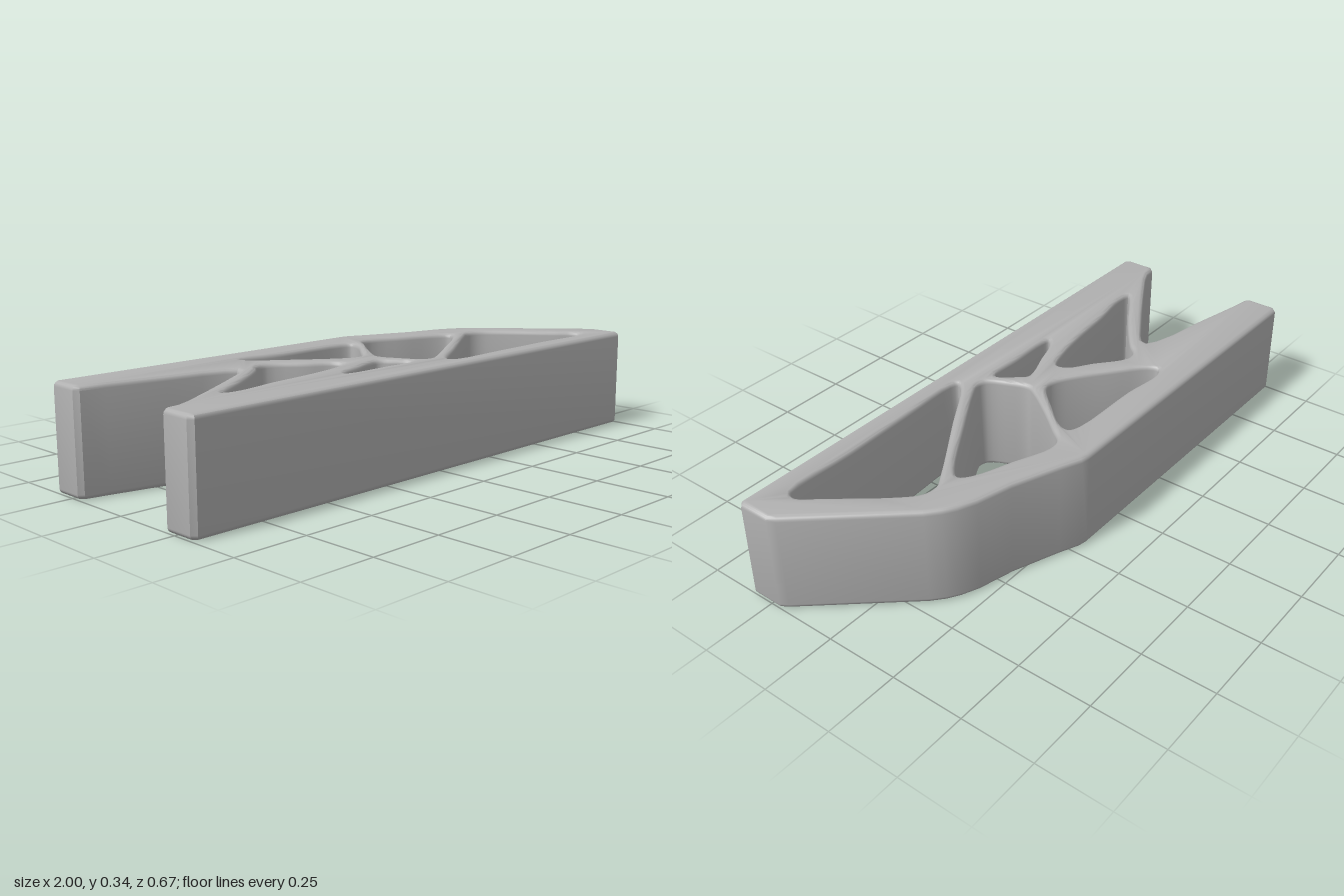
import * as THREE from 'three';
import { toCreasedNormals } from 'three/addons/utils/BufferGeometryUtils.js';

const HEIGHT = 0.345;
const EDGE = 0.016; // radius of the rounded edges

// Plan coordinates: x to the right, z towards the front.
const OUTLINE = [
  [-0.985, -0.335], [0.19, -0.335], [0.22, -0.33], [0.29, -0.3], [0.45, -0.24], [0.57, -0.21],
  [0.63, -0.185], [0.67, -0.16], [0.71, -0.125], [0.985, 0.19], [1, 0.215], [1, 0.32], [0.985, 0.335],
  [-0.985, 0.335], [-1, 0.32], [-1, 0.22], [-0.985, 0.205],
  // open notch between the two arms
  [-0.945, 0.2], [-0.9, 0.18], [-0.78, 0.11], [-0.665, 0.04], [-0.53, -0.045], [-0.5, -0.07],
  [-0.495, -0.09], [-0.525, -0.108], [-0.6, -0.13], [-0.72, -0.15], [-0.905, -0.19],
  [-0.985, -0.205], [-1, -0.22], [-1, -0.32],
];

// Openings between the struts, drawn as closed smooth curves
const OPENINGS = [
  // rear arm triangle
  [[-0.37, -0.22], [-0.33, -0.235], [-0.185, -0.22], [0.075, -0.212], [0.11, -0.195], [0.1, -0.155],
    [0.03, -0.07], [-0.035, 0], [-0.065, 0.012], [-0.1, 0.005], [-0.16, -0.03], [-0.265, -0.11], [-0.355, -0.185]],
  // front left triangle
  [[-0.75, 0.16], [-0.72, 0.135], [-0.585, 0.05], [-0.45, -0.05], [-0.41, -0.09], [-0.365, -0.095],
    [-0.265, -0.02], [-0.19, 0.035], [-0.185, 0.07], [-0.265, 0.1], [-0.4, 0.125], [-0.56, 0.143], [-0.7, 0.167]],
  // small front triangle
  [[-0.3, 0.195], [-0.275, 0.172], [-0.185, 0.14], [-0.105, 0.11], [-0.065, 0.105], [-0.035, 0.135],
    [0, 0.185], [-0.015, 0.2], [-0.13, 0.2], [-0.27, 0.202]],
  // central opening
  [[-0.01, 0.06], [0.005, 0.025], [0.072, -0.07], [0.14, -0.155], [0.18, -0.203], [0.23, -0.21],
    [0.35, -0.165], [0.48, -0.115], [0.512, -0.085], [0.485, -0.05], [0.295, 0.075], [0.135, 0.175],
    [0.08, 0.2], [0.048, 0.19], [0.01, 0.12]],
  // front right triangle
  [[0.115, 0.258], [0.135, 0.23], [0.295, 0.125], [0.535, -0.035], [0.59, -0.065], [0.64, -0.058],
    [0.695, -0.01], [0.83, 0.155], [0.88, 0.22], [0.868, 0.252], [0.615, 0.256], [0.35, 0.264], [0.14, 0.27]],
];

function smoothLoop(points) {
  const curve = new THREE.CatmullRomCurve3(points.map(([x, z]) => new THREE.Vector3(x, z, 0)), true, 'centripetal');
  return curve.getPoints(points.length * 4).slice(0, -1).map((p) => new THREE.Vector2(p.x, p.y));
}

export function createModel() {
  const metal = new THREE.MeshStandardMaterial({ color: 0xb0b0b0 });
  metal.name = 'grey metal';

  const shape = new THREE.Shape(OUTLINE.map(([x, z]) => new THREE.Vector2(x, z)));
  for (const opening of OPENINGS) shape.holes.push(new THREE.Path(smoothLoop(opening)));

  // The rounded edges are cut inwards so that the plan keeps its size
  let geometry = new THREE.ExtrudeGeometry(shape, {
    depth: HEIGHT - 2 * EDGE, steps: 1, curveSegments: 1,
    bevelThickness: EDGE, bevelSize: EDGE, bevelOffset: -EDGE, bevelSegments: 4,
  });
  geometry.rotateX(Math.PI / 2);
  geometry.translate(0, HEIGHT - EDGE, 0);
  geometry.deleteAttribute('uv');
  geometry = toCreasedNormals(geometry, 0.6);

  const bracket = new THREE.Mesh(geometry, metal);
  bracket.name = 'trussBracket';
  const group = new THREE.Group();
  group.name = 'bracket';
  group.add(bracket);
  return group;
}
